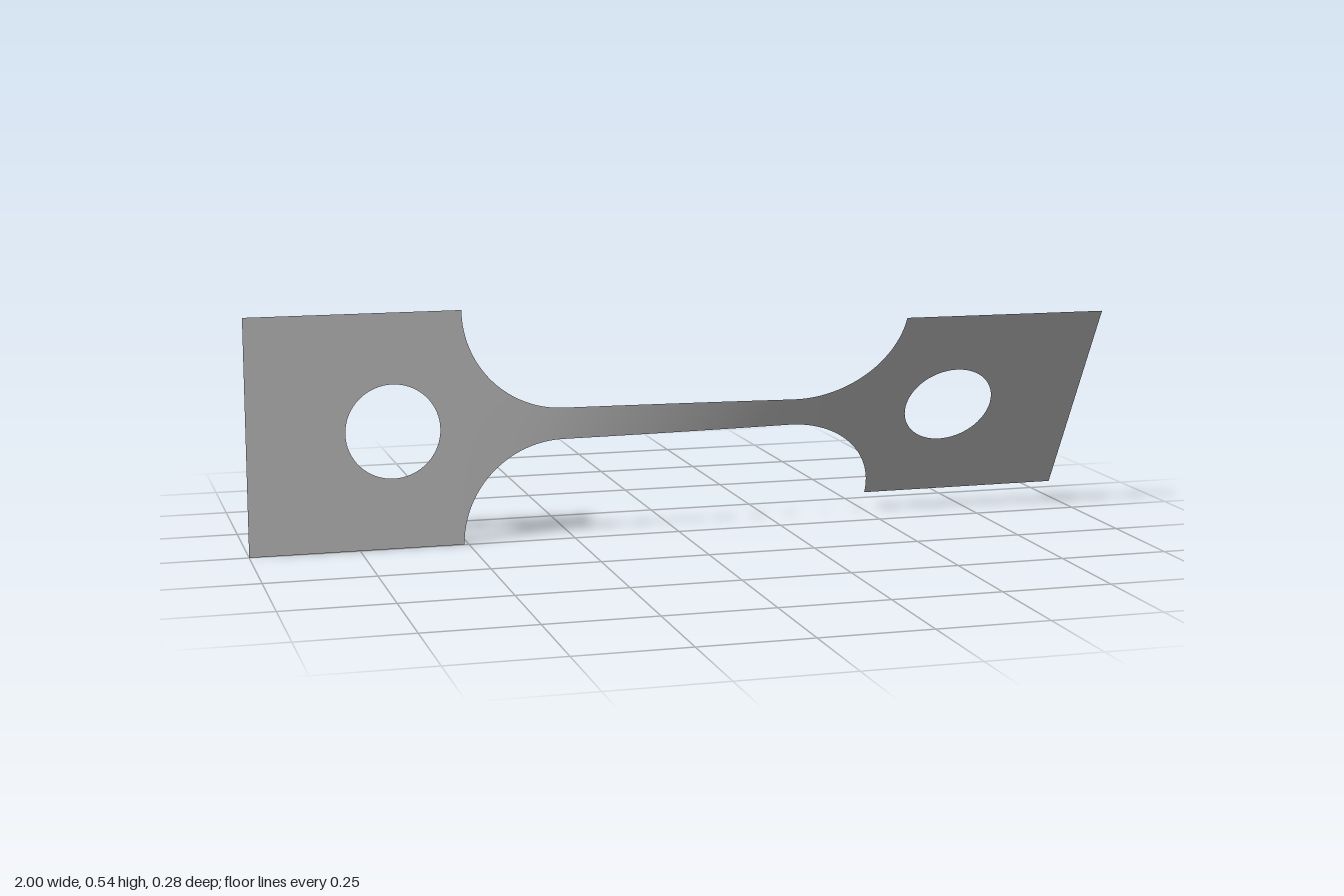
import * as THREE from 'three';
import { mergeGeometries, mergeVertices } from 'three/addons/utils/BufferGeometryUtils.js';

const END = 1, GRIP = 0.51, HALF = 0.271, NECK = 0.037, HOLE_X = 0.67, HOLE_R = 0.108;
const R = HALF - NECK;            // fillet radius
const NECK_X = GRIP - R;          // where the fillet meets the straight neck
const TWIST = THREE.MathUtils.degToRad(31);

// half width of the strip at x
function halfWidth(x) {
  const a = Math.abs(x);
  if (a >= GRIP) return HALF;
  if (a <= NECK_X) return NECK;
  return HALF - Math.sqrt(Math.max(0, R * R - (a - NECK_X) ** 2));
}

// twist accumulates mostly where the strip is narrow
const STEPS = 800;
const table = [0];
for (let i = 0; i < STEPS; i++) {
  const x = -END + (i + 0.5) * 2 * END / STEPS;
  table.push(table[i] + 1 / halfWidth(x) ** 2);
}
function twistAt(x) {
  const t = THREE.MathUtils.clamp((x + END) / (2 * END), 0, 1) * STEPS;
  const i = Math.min(Math.floor(t), STEPS - 1);
  return TWIST * THREE.MathUtils.lerp(table[i], table[i + 1], t - i) / table[STEPS];
}

// square grip plate with a round hole
function grip(side) {
  const mid = side * (GRIP + END) / 2, w = (END - GRIP) / 2;
  const shape = new THREE.Shape([
    new THREE.Vector2(mid - w, -HALF), new THREE.Vector2(mid + w, -HALF),
    new THREE.Vector2(mid + w, HALF), new THREE.Vector2(mid - w, HALF)]);
  shape.holes.push(new THREE.Path().absarc(side * HOLE_X, 0, HOLE_R, 0, Math.PI * 2, true));
  return new THREE.ShapeGeometry(shape, 32);
}

// narrow neck with a quarter-circle flare at both ends
function neck() {
  const xs = [], N = 24;
  for (let i = 0; i <= N; i++) xs.push(-NECK_X - R * Math.cos(i / N * Math.PI / 2));
  for (let i = 1; i < N * 2; i++) xs.push(-NECK_X + i * NECK_X / N);
  for (let i = 0; i <= N; i++) xs.push(NECK_X + R * Math.sin(i / N * Math.PI / 2));
  const geo = new THREE.PlaneGeometry(2, 2, xs.length - 1, 8);
  const p = geo.attributes.position;
  for (let i = 0; i < p.count; i++) {
    const x = xs[i % xs.length];
    p.setXY(i, x, p.getY(i) * halfWidth(x));
  }
  return geo;
}

export function createModel() {
  const group = new THREE.Group();
  group.name = 'twistedSpecimen';
  const metal = new THREE.MeshStandardMaterial({ color: 0xb0b0b0, side: THREE.DoubleSide });
  metal.name = 'greyMetal';

  let geo = mergeGeometries([grip(-1), neck(), grip(1)]);
  geo.deleteAttribute('uv');
  geo.deleteAttribute('normal');
  geo = mergeVertices(geo, 1e-5);

  // twist the flat strip about its long axis
  const p = geo.attributes.position;
  for (let i = 0; i < p.count; i++) {
    const x = p.getX(i), y = p.getY(i), a = twistAt(x);
    p.setXYZ(i, x, HALF + y * Math.cos(a), y * Math.sin(a));
  }
  geo.computeVertexNormals();

  const strip = new THREE.Mesh(geo, metal);
  strip.name = 'twistedStrip';
  group.add(strip);
  return group;
}
